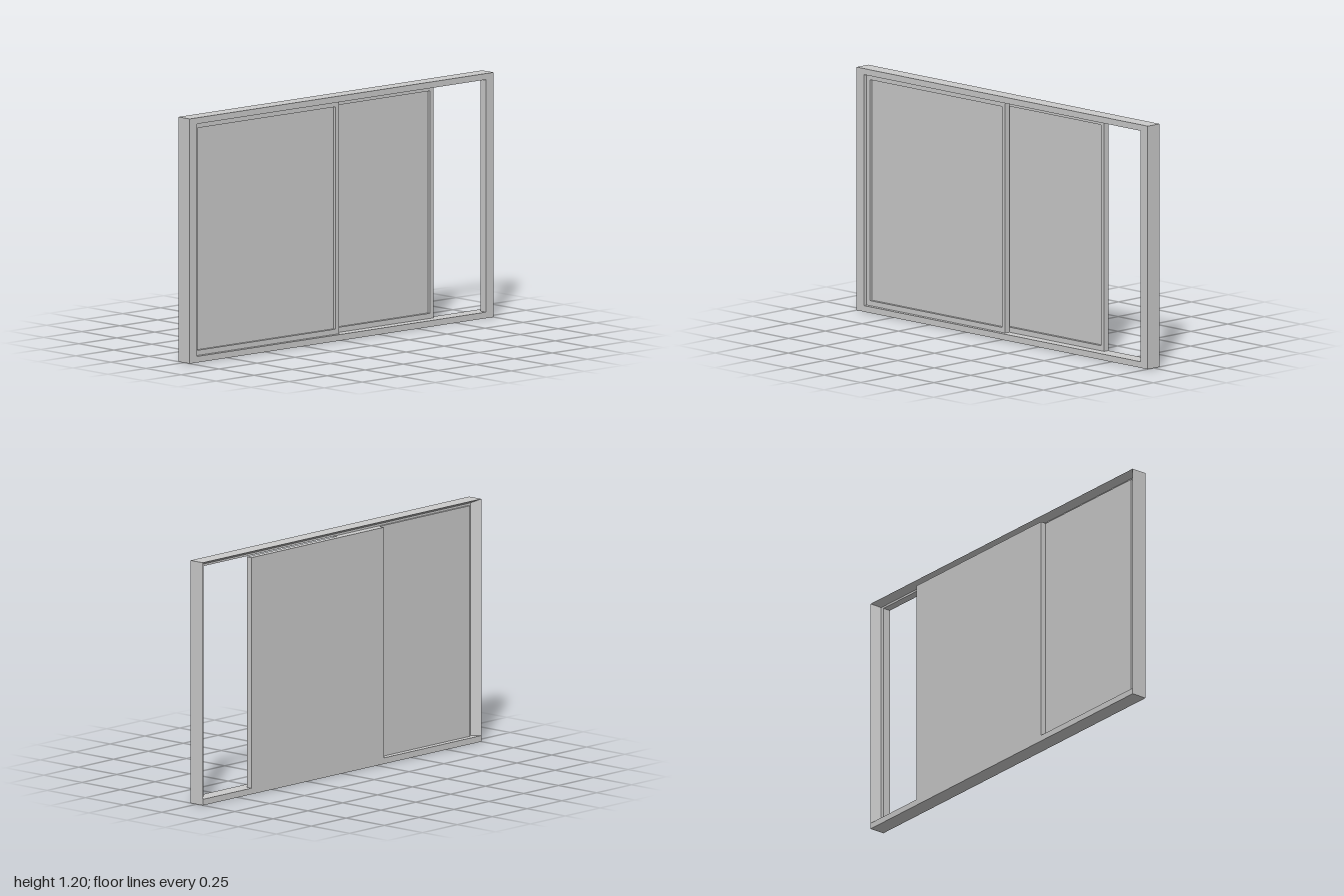
import * as THREE from 'three';

const mat = new THREE.MeshStandardMaterial({ color: 0xcccccc, flatShading: true, side: THREE.DoubleSide });

function box(name, x0, x1, y0, y1, z0, z1) {
  const mesh = new THREE.Mesh(new THREE.BoxGeometry(x1 - x0, y1 - y0, z1 - z0), mat);
  mesh.position.set((x0 + x1) / 2, (y0 + y1) / 2, (z0 + z1) / 2);
  mesh.name = name;
  return mesh;
}

// Rail section: full width at the front, tapering to the outer edge at the back
function railGeometry(width, length) {
  const shape = new THREE.Shape([
    [0, -0.04], [0, 0.04], [width, 0.04], [width, 0], [width * 0.66, 0],
  ].map(([x, y]) => new THREE.Vector2(x, y)));
  const geo = new THREE.ExtrudeGeometry(shape, { depth: length, bevelEnabled: false });
  geo.translate(0, 0, -length / 2);
  return geo;
}

// Sliding panel: a slim raised border around a recessed pane, flat at the back
function sash(name, x0, x1, z0, z1) {
  const group = new THREE.Group();
  group.name = name;
  const y0 = 0.03, y1 = 1.17, bx = 0.022, by = 0.025, zp = z1 - 0.015;
  const outline = new THREE.Shape([[x0, y0], [x1, y0], [x1, y1], [x0, y1]]
    .map((p) => new THREE.Vector2(...p)));
  outline.holes.push(new THREE.Path([
    [x0 + bx, y0 + by], [x0 + bx, y1 - by], [x1 - bx, y1 - by], [x1 - bx, y0 + by],
  ].map((p) => new THREE.Vector2(...p))));
  const border = new THREE.Mesh(
    new THREE.ExtrudeGeometry(outline, { depth: z1 - z0, bevelEnabled: false }), mat);
  border.position.z = z0;
  border.name = 'sashBorder';
  group.add(border, box('pane', x0 + bx, x1 - bx, y0 + by, y1 - by, z0, zp));
  return group;
}

export function createModel() {
  const model = new THREE.Group();
  model.name = 'slidingWindow';

  // Outer frame
  const frame = new THREE.Group();
  frame.name = 'frame';
  frame.add(box('sill', -1, 1, 0, 0.03, -0.04, 0.04));

  for (const side of [-1, 1]) {
    const geo = railGeometry(0.05, 1.2);
    // section (x, y) becomes (x, z), length runs along y
    geo.rotateX(Math.PI / 2);
    if (side > 0) {
      // mirror the jamb by swapping its ends, keeping the faces outward
      geo.rotateZ(Math.PI);
    }
    const jamb = new THREE.Mesh(geo, mat);
    jamb.position.set(side, 0.6, 0);
    jamb.name = side > 0 ? 'leftJamb' : 'rightJamb';
    frame.add(jamb);
  }

  const headGeo = railGeometry(0.03, 2);
  headGeo.rotateX(Math.PI / 2);
  headGeo.rotateZ(-Math.PI / 2);
  const head = new THREE.Mesh(headGeo, mat);
  head.position.y = 1.2;
  head.name = 'headRail';
  frame.add(head);
  model.add(frame);

  // Two sliding sashes on parallel tracks, the rear one partly open
  model.add(sash('frontSash', -0.95, 0, -0.01, 0.02));
  model.add(sash('rearSash', -0.3, 0.65, -0.04, -0.01));
  return model;
}
